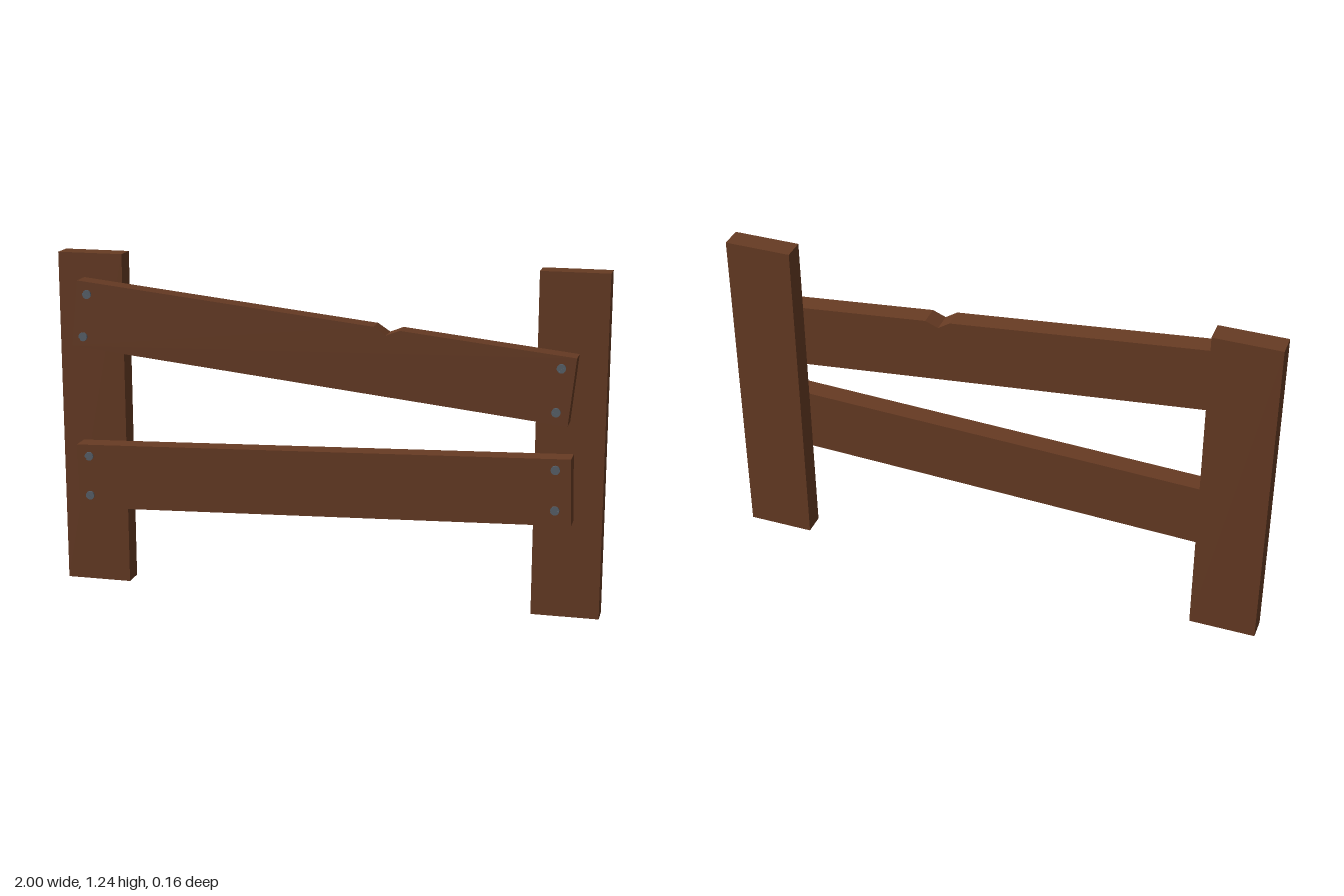
import * as THREE from 'three';

export function createModel() {
  const wood = new THREE.MeshStandardMaterial({ name: 'brown wood', color: 0x673b23 });
  const steel = new THREE.MeshStandardMaterial({ name: 'grey steel', color: 0x59626b });
  const model = new THREE.Group();
  model.name = 'fence';

  function add(name, geometry, material, parent = model) {
    const mesh = new THREE.Mesh(geometry, material);
    mesh.name = name;
    parent.add(mesh);
    return mesh;
  }

  // Upright posts
  for (const side of [1, -1]) {
    const post = add(side > 0 ? 'leftPost' : 'rightPost', new THREE.BoxGeometry(0.243, 1.24, 0.079), wood);
    post.position.set(side * 0.8785, 0.62, -0.0395);
  }

  // Rails nailed across the front of the posts
  function rail(name, outline) {
    const shape = new THREE.Shape(outline.map(([x, y]) => new THREE.Vector2(x, y)));
    add(name, new THREE.ExtrudeGeometry(shape, { depth: 0.075, bevelEnabled: false }), wood);
  }
  // The upper rail has a chip in its top edge
  rail('upperRail', [
    [-0.927, 0.91], [0.877, 0.716], [0.902, 0.957], [0.284, 1.023],
    [0.236, 1.004], [0.192, 1.033], [-0.902, 1.151],
  ]);
  rail('lowerRail', [[-0.915, 0.3], [0.9, 0.36], [0.893, 0.6], [-0.923, 0.54]]);

  // Slotted screw heads: a thin base disc with two raised halves
  const radius = 0.016;
  const base = new THREE.CylinderGeometry(radius, radius, 0.003, 12).rotateX(Math.PI / 2);
  const halfShape = new THREE.Shape();
  const gap = Math.asin(0.2);
  halfShape.absarc(0, 0, radius, gap, Math.PI - gap, false);
  const half = new THREE.ExtrudeGeometry(halfShape, { depth: 0.007, bevelEnabled: false, curveSegments: 6 });

  const screws = [
    [-0.865, 1.102, -0.5], [-0.884, 0.946, 0.6], [0.85, 0.919, 0.7], [0.836, 0.764, -0.4],
    [-0.875, 0.499, 0.6], [-0.875, 0.35, -0.7], [0.84, 0.559, -0.6], [0.842, 0.413, 0.1],
  ];
  for (const [x, y, turn] of screws) {
    const screw = new THREE.Group();
    screw.name = 'screw';
    screw.position.set(x, y, 0.075);
    screw.rotation.z = turn;
    add('screwBase', base, steel, screw).position.z = 0.0015;
    for (const angle of [0, Math.PI]) add('screwHalf', half, steel, screw).rotation.z = angle;
    model.add(screw);
  }
  return model;
}
